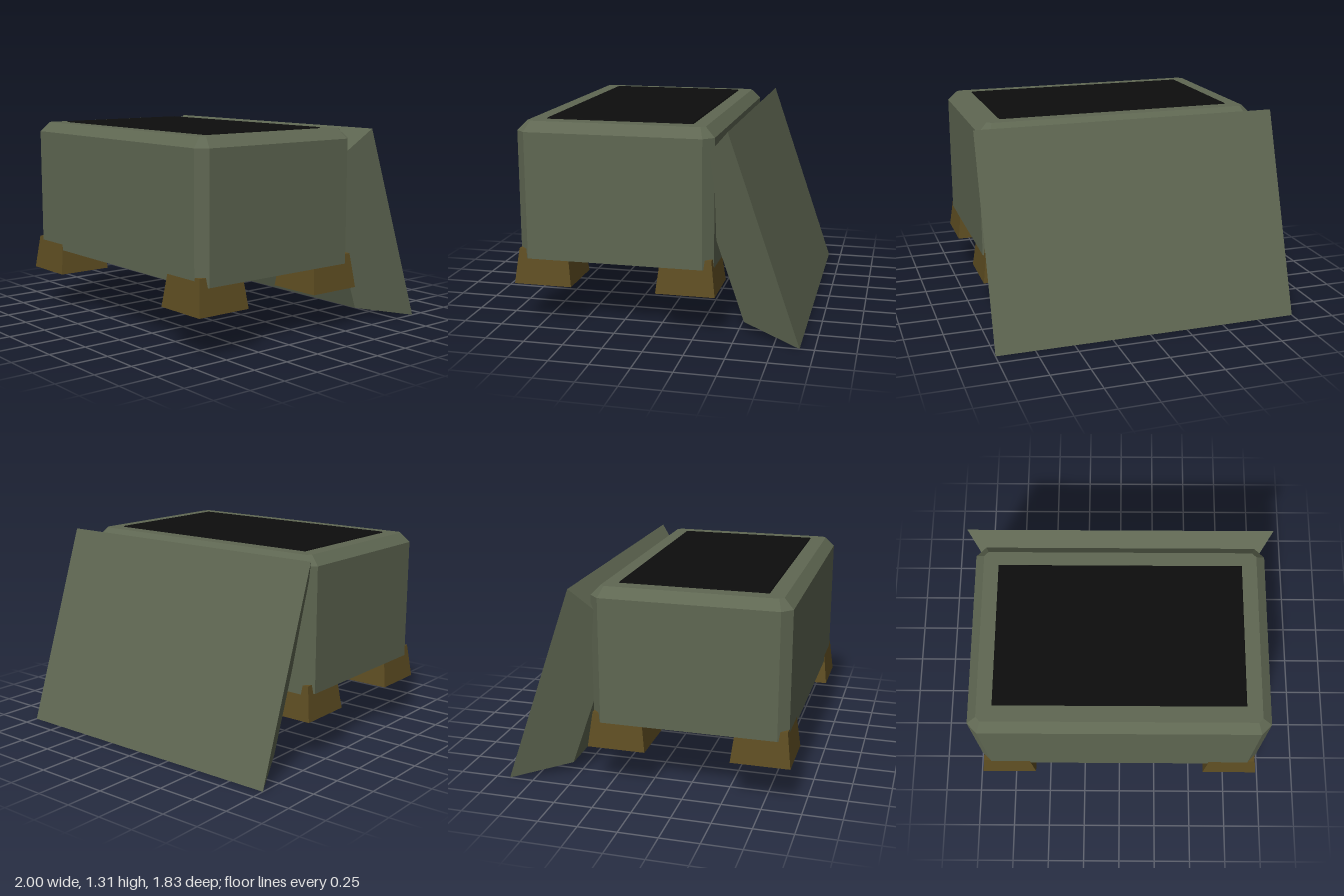
import * as THREE from 'three';

const green = new THREE.MeshStandardMaterial({ color: 0x5f6752, name: 'olive green' });
const brown = new THREE.MeshStandardMaterial({ color: 0x5e4d22, name: 'dark brown' });
const black = new THREE.MeshStandardMaterial({ color: 0x0d0d0d, name: 'black' });

// Rectangle outline with optional corner cut, anticlockwise from above
function outline({ x, z, cut = 0, y }) {
  const corners = [[1, 1], [1, -1], [-1, -1], [-1, 1]];
  return corners.flatMap(([sx, sz]) => {
    const onZ = [sx * (x - cut), y, sz * z];
    const onX = [sx * x, y, sz * (z - cut)];
    if (cut === 0) return [onZ];
    return sx * sz > 0 ? [onZ, onX] : [onX, onZ];
  });
}

// Closed, flat-faced solid through stacked outlines, bottom to top
function loft(name, material, sections) {
  const rings = sections.map(outline);
  const n = rings[0].length;
  const pos = [];
  const tri = (a, b, c) => pos.push(...a, ...b, ...c);
  for (let r = 0; r < rings.length - 1; r++) {
    const lo = rings[r], hi = rings[r + 1];
    for (let i = 0; i < n; i++) {
      const j = (i + 1) % n;
      tri(lo[i], lo[j], hi[j]);
      tri(lo[i], hi[j], hi[i]);
    }
  }
  const first = rings[0], last = rings[rings.length - 1];
  for (let i = 1; i < n - 1; i++) {
    tri(first[0], first[i + 1], first[i]);
    tri(last[0], last[i], last[i + 1]);
  }
  const geometry = new THREE.BufferGeometry();
  geometry.setAttribute('position', new THREE.Float32BufferAttribute(pos, 3));
  geometry.computeVertexNormals();
  const mesh = new THREE.Mesh(geometry, material);
  mesh.name = name;
  return mesh;
}

export function createModel() {
  const model = new THREE.Group();
  model.name = 'openChest';

  // Chest body with chamfered uprights and top rim
  const body = loft('body', green, [
    { x: 0.94, z: 0.625, cut: 0.063, y: 0.43 },
    { x: 0.94, z: 0.625, cut: 0.063, y: 1.24 },
    { x: 0.88, z: 0.565, cut: 0.027, y: 1.302 },
  ]);
  body.position.z = 0.265;
  model.add(body);

  // Dark opening on the top
  const opening = loft('opening', black, [
    { x: 0.785, z: 0.47, y: 1.3 },
    { x: 0.78, z: 0.465, y: 1.309 },
  ]);
  opening.position.z = 0.26;
  model.add(opening);

  // Tapered corner feet, poking out through the cut corners
  for (const side of [-1, 1]) {
    for (const [end, z] of [['front', 0.7275], ['back', -0.1925]]) {
      const foot = loft(`${end}${side > 0 ? 'Left' : 'Right'}Foot`, brown, [
        { x: 0.185, z: 0.1875, y: 0.265 },
        { x: 0.155, z: 0.16, y: 0.49 },
      ]);
      foot.position.set(side * 0.77, 0, z);
      model.add(foot);
    }
  }

  // Lid leaning on the back, built flat with its underside facing up
  const lid = new THREE.Group();
  lid.name = 'lid';
  lid.add(
    loft('lidShell', green, [
      { x: 1, z: 0.688, y: 0 },
      { x: 0.81, z: 0.5, y: 0.327 },
    ]),
    loft('lidPanelRim', brown, [
      { x: 0.605, z: 0.35, y: 0.32 },
      { x: 0.587, z: 0.332, y: 0.349 },
    ]),
    loft('lidPanel', green, [
      { x: 0.587, z: 0.332, y: 0.349 },
      { x: 0.585, z: 0.33, y: 0.352 },
    ]),
  );
  lid.rotation.x = 1.904;
  lid.position.set(0, 0.65, -0.685);
  model.add(lid);

  return model;
}
